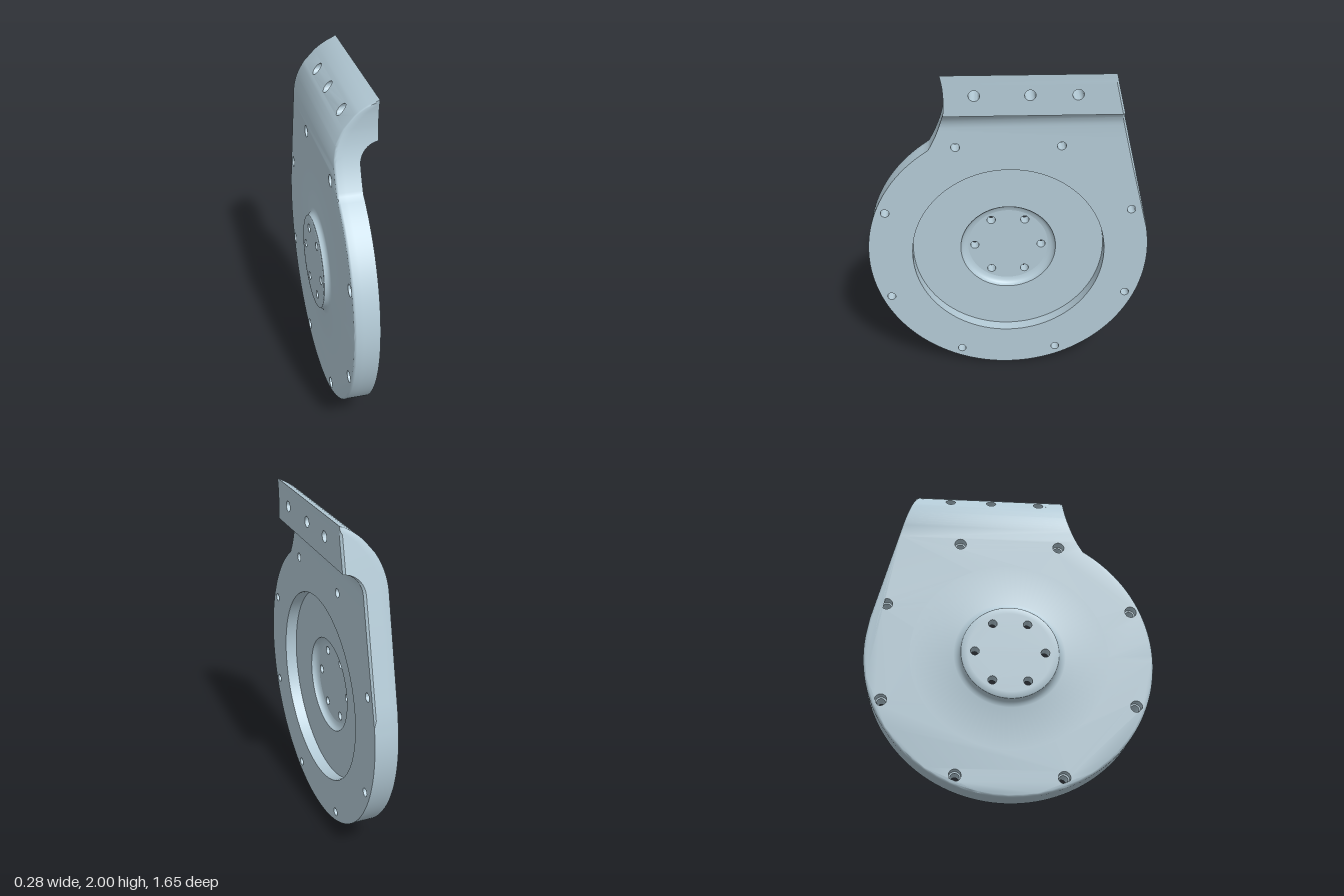
import * as THREE from 'three';
import { toCreasedNormals } from 'three/addons/utils/BufferGeometryUtils.js';

// Shapes are drawn in (u, y) with u = -z, then extruded along x.
const CY = 0.825, R = 0.825;              // disc centre height and radius
const BACK = -0.105, FRONT = 0.035;       // plate faces
const NECK = 1.655;                       // height where the flange starts to bend

// Side edges of the neck, and the curved back and front surfaces
const leftEdge = (y) => -(0.345 + 0.87 * (1.86 - y) ** 2);
const rightEdge = (y) => 0.56 + 0.25 * (2 - y);
const backX = (y) => (y <= 1.65 ? BACK : Math.min(0.135, 0.269 - Math.sqrt(0.374 ** 2 - (y - 1.65) ** 2)));
const frontX = (y) => {
  if (y <= NECK) return FRONT;
  return y >= 1.7689 ? 0.135 : 0.15 - Math.sqrt(0.115 ** 2 - (y - NECK) ** 2);
};

const ringOf = (n, radius, offset) => Array.from({ length: n }, (_, i) => {
  const a = offset + (i / n) * Math.PI * 2;
  return new THREE.Vector2(radius * Math.cos(a), CY + radius * Math.sin(a));
});
const rimHoles = ringOf(8, 0.77, Math.PI / 8);
const hubHoles = ringOf(6, 0.2, 0);

function circle(x, y, r, n) {
  const pts = [];
  for (let i = 0; i < n; i++) {
    const a = (i / n) * Math.PI * 2;
    pts.push(new THREE.Vector2(x + r * Math.cos(a), y + r * Math.sin(a)));
  }
  return new THREE.Path(pts);
}

// Layers through the thickness: distance from the back and edge rounding
const OFFSET = [0, 0.004, 0.012, 0.05, 0.05];
const INSET = [0.012, 0.0035, 0, 0, 0, 0, 0.012];

function placeVertex(p) {
  const k = Math.round(p.z);
  let u = p.x, y = p.y;
  const b = backX(y), f = frontX(y);
  const x = k < 5 ? Math.min(b + OFFSET[k], f)
    : k === 5 ? Math.max(f - 0.012, Math.min(b + 0.05, f)) : f;

  // Rounded outer edges
  const onRight = y > 1.02 && Math.abs(u - rightEdge(y)) < 0.002;
  const onLeft = y > 1.515 && Math.abs(u - leftEdge(y)) < 0.002;
  const dist = Math.hypot(u, y - CY);
  if (onRight) u -= INSET[k];
  else if (onLeft) u += k === 6 ? 0 : INSET[k];
  else if (y < 1.53 && dist > 0.823 && k < 6) {
    const s = 1 - INSET[k] / dist;
    u *= s;
    y = CY + (y - CY) * s;
  }

  // Wider bores at the back of the rim holes
  if (k <= 3) {
    for (const h of rimHoles) {
      if (Math.hypot(u - h.x, y - h.y) < 0.0256) {
        u = h.x + (u - h.x) * 1.36;
        y = h.y + (y - h.y) * 1.36;
        break;
      }
    }
  }
  return [x, y, -u];
}

// Extrudes one outline and bends it to the curved surfaces, dropping inner seams
function addSlab(out, outline, holes) {
  const shape = new THREE.Shape(outline);
  shape.holes.push(...holes);
  let geo = new THREE.ExtrudeGeometry(shape, { depth: 6, steps: 6, bevelEnabled: false });
  if (geo.index) geo = geo.toNonIndexed();
  const pos = geo.attributes.position;
  for (let i = 0; i < pos.count; i += 3) {
    const tri = [0, 1, 2].map((j) => new THREE.Vector3().fromBufferAttribute(pos, i + j));
    const level = Math.abs(tri[0].y - tri[1].y) < 1e-5 && Math.abs(tri[0].y - tri[2].y) < 1e-5;
    if (level && tri[0].y > 1.6) continue;
    tri.forEach((p) => out.push(...placeVertex(p)));
  }
}

function geometryFrom(positions) {
  const geo = new THREE.BufferGeometry();
  geo.setAttribute('position', new THREE.Float32BufferAttribute(positions, 3));
  return toCreasedNormals(geo, 0.75);
}

function bodyGeometry() {
  const out = [];

  // Round plate with its neck
  const pts = [];
  for (let i = 0; i <= 8; i++) {
    const y = 1.52 + (NECK - 1.52) * (i / 8);
    pts.push(new THREE.Vector2(leftEdge(y), y));
  }
  for (let i = 0; i <= 8; i++) {
    const y = NECK + (1.025 - NECK) * (i / 8);
    pts.push(new THREE.Vector2(rightEdge(y), y));
  }
  const a0 = 0.245, a1 = 2.14 - Math.PI * 2;
  for (let i = 1; i < 90; i++) {
    const a = a0 + (a1 - a0) * (i / 90);
    pts.push(new THREE.Vector2(R * Math.cos(a), CY + R * Math.sin(a)));
  }
  addSlab(out, pts, [circle(0, CY, 0.567, 96), ...rimHoles.map((h) => circle(h.x, h.y, 0.025, 24))]);

  // Curved flange in level strips
  const ys = [];
  for (let i = 0; i <= 8; i++) ys.push(NECK + 0.115 * Math.sin((i / 8) * Math.acos(0.015 / 0.115)));
  ys.push(1.795, 1.825, 1.85, 1.92, 1.94, 1.958, 1.974, 1.988, 2);
  for (let i = 0; i < ys.length - 1; i++) {
    const [lo, hi] = [ys[i], ys[i + 1]];
    const strip = [[leftEdge(lo), lo], [rightEdge(lo), lo], [rightEdge(hi), hi], [leftEdge(hi), hi]]
      .map(([u, y]) => new THREE.Vector2(u, y));
    const holes = lo === 1.85 ? [-0.185, 0.11, 0.362].map((u) => circle(u, 1.885, 0.03, 24)) : [];
    addSlab(out, strip, holes);
  }
  return geometryFrom(out);
}

// Recessed web with a dished boss, turned about the x axis
function webGeometry() {
  const profile = [
    [0.24, -0.14], [0.274, -0.14], [0.279, -0.137], [0.283, -0.128], [0.291, -0.117],
    [0.303, -0.109], [0.32, BACK], [0.567, BACK],
    [0.567, -0.035], [0.284, -0.035], [0.281, -0.045], [0.273, -0.057], [0.259, -0.066], [0.24, -0.07],
  ].map(([r, x]) => new THREE.Vector2(r, x));
  const geo = new THREE.LatheGeometry(profile, 96);
  geo.rotateZ(-Math.PI / 2);
  geo.translate(0, CY, 0);
  return toCreasedNormals(geo, 0.6);
}

// Drilled floor of the boss
function hubGeometry() {
  const shape = new THREE.Shape(circle(0, CY, 0.24, 96).getPoints());
  shape.holes.push(...hubHoles.map((h) => circle(h.x, h.y, 0.025, 24)));
  const geo = new THREE.ExtrudeGeometry(shape, { depth: 0.07, bevelEnabled: false });
  geo.rotateY(Math.PI / 2);
  geo.translate(-0.14, 0, 0);
  return toCreasedNormals(geo, 0.6);
}

export function createModel() {
  const metal = new THREE.MeshStandardMaterial({ color: 0xb4cbd7 });
  metal.name = 'pale blue metal';
  const group = new THREE.Group();
  group.name = 'mountingPlate';
  const parts = { plateAndFlange: bodyGeometry(), recessedWeb: webGeometry(), hubFloor: hubGeometry() };
  for (const [name, geo] of Object.entries(parts)) {
    const mesh = new THREE.Mesh(geo, metal);
    mesh.name = name;
    group.add(mesh);
  }
  return group;
}
